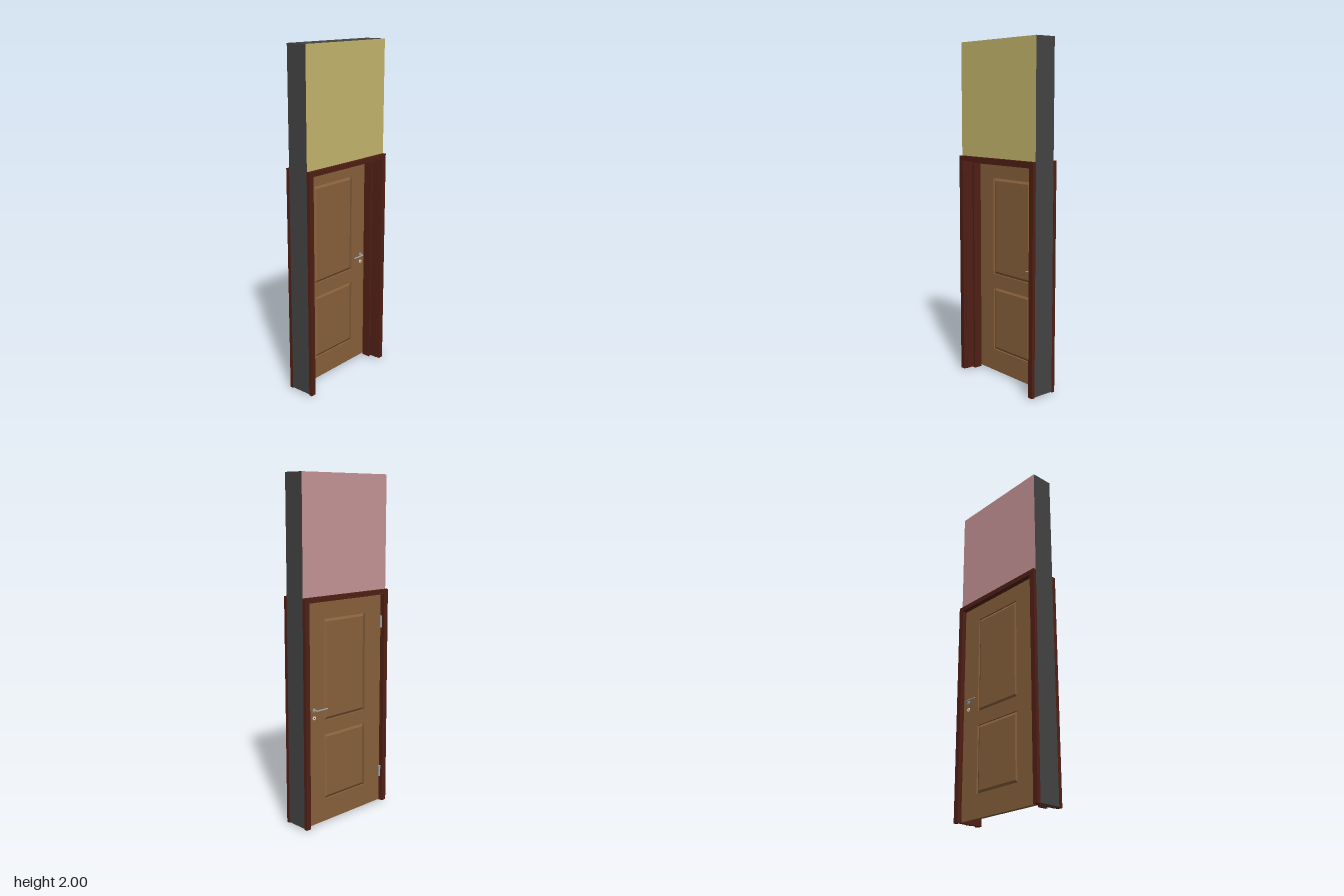
import * as THREE from 'three';

const mat = (color) => new THREE.MeshStandardMaterial({ color });
const wallEdge = mat(0x444444), wallFront = mat(0xcabb70), wallBack = mat(0xcb989b);
const frameWood = mat(0x522015), doorWood = mat(0x8b633d);
const steel = mat(0x9aa3aa), cream = mat(0xe6e0d2);

export function createModel() {
  const model = new THREE.Group();

  const add = (name, geometry, material, x = 0, y = 0, z = 0, parent = model) => {
    const mesh = new THREE.Mesh(geometry, material);
    mesh.name = name;
    mesh.position.set(x, y, z);
    parent.add(mesh);
    return mesh;
  };

  // Closed outline through a few points
  const outline = (points, Type = THREE.Shape) => new Type(points.map(([x, y]) => new THREE.Vector2(x, y)));
  const rect = (x0, x1, y0, y1, Type) => outline([[x0, y0], [x1, y0], [x1, y1], [x0, y1]], Type);

  // Three-sided surround, extruded from z0 to z1
  const surround = (name, outX, outTop, inX, inTop, bottom, z0, z1) => {
    const shape = outline([
      [-outX, bottom], [-inX, bottom], [-inX, inTop], [inX, inTop],
      [inX, bottom], [outX, bottom], [outX, outTop], [-outX, outTop],
    ]);
    add(name, new THREE.ExtrudeGeometry(shape, { depth: z1 - z0, bevelEnabled: false }), frameWood, 0, 0, z0);
  };

  // Wall: painted front and back, bare edges, with the door opening left free
  const painted = [wallEdge, wallEdge, wallEdge, wallEdge, wallFront, wallBack];
  add('wallAboveDoor', new THREE.BoxGeometry(0.66, 0.685, 0.132), painted, 0, 1.6575, 0);
  for (const s of [-1, 1]) {
    add('wallBesideDoor', new THREE.BoxGeometry(0.02, 1.305, 0.132), painted, s * 0.32, 0.6625, 0);
  }

  // Frame: casings on both wall faces, jamb lining and door stop
  surround('frontCasing', 0.332, 1.335, 0.3, 1.306, 0.006, 0.066, 0.086);
  surround('backCasing', 0.332, 1.335, 0.3, 1.306, 0.006, -0.086, -0.066);
  surround('jambLining', 0.31, 1.315, 0.297, 1.303, 0.006, -0.066, 0.066);
  surround('doorStop', 0.298, 1.304, 0.284, 1.29, 0, -0.037, 0.015);

  // Door leaf with two openings for the panels
  const door = new THREE.Group();
  door.name = 'door';
  door.position.z = -0.05;
  model.add(door);
  const panels = [[-0.16, 0.168, 0.62, 1.205], [-0.16, 0.168, 0.145, 0.535]];
  const leaf = rect(-0.295, 0.295, 0.01, 1.301);
  leaf.holes = panels.map((p) => rect(...p, THREE.Path));
  add('doorLeaf', new THREE.ExtrudeGeometry(leaf, { depth: 0.024, bevelEnabled: false }), doorWood, 0, 0, -0.012, door);

  // Raised panels, bevelled towards both faces
  for (const p of panels) {
    const field = new THREE.ExtrudeGeometry(rect(...p), {
      depth: 0.004, bevelThickness: 0.009, bevelSize: 0.016, bevelOffset: -0.016, bevelSegments: 1,
    });
    add('raisedPanel', field, doorWood, 0, 0, -0.002, door);
  }

  // Handle and lock cover on each face
  for (const s of [-1, 1]) {
    const disc = (name, r, depth, material, y, z) => {
      const geometry = new THREE.CylinderGeometry(r, r, depth, 20).rotateX(Math.PI / 2);
      add(name, geometry, material, 0.25, y, s * z, door);
    };
    disc('handleRose', 0.011, 0.005, steel, 0.695, 0.0135);
    disc('lockCover', 0.011, 0.005, cream, 0.65, 0.0135);
    disc('keyhole', 0.003, 0.001, wallEdge, 0.65, 0.0163);
    const path = new THREE.CatmullRomCurve3([
      new THREE.Vector3(0.25, 0.695, s * 0.012), new THREE.Vector3(0.25, 0.695, s * 0.032),
      new THREE.Vector3(0.243, 0.695, s * 0.038), new THREE.Vector3(0.17, 0.695, s * 0.038),
    ], false, 'catmullrom', 0.2);
    add('handleLever', new THREE.TubeGeometry(path, 24, 0.0048, 10), steel, 0, 0, 0, door);
    const cap = new THREE.SphereGeometry(0.0048, 10, 8);
    add('leverTip', cap, steel, 0.17, 0.695, s * 0.038, door);
  }

  // Hinges on the back, at the right edge
  for (const y of [0.2, 1.14]) {
    add('hinge', new THREE.CylinderGeometry(0.007, 0.007, 0.07, 12), steel, -0.292, y, -0.068);
  }

  return model;
}
